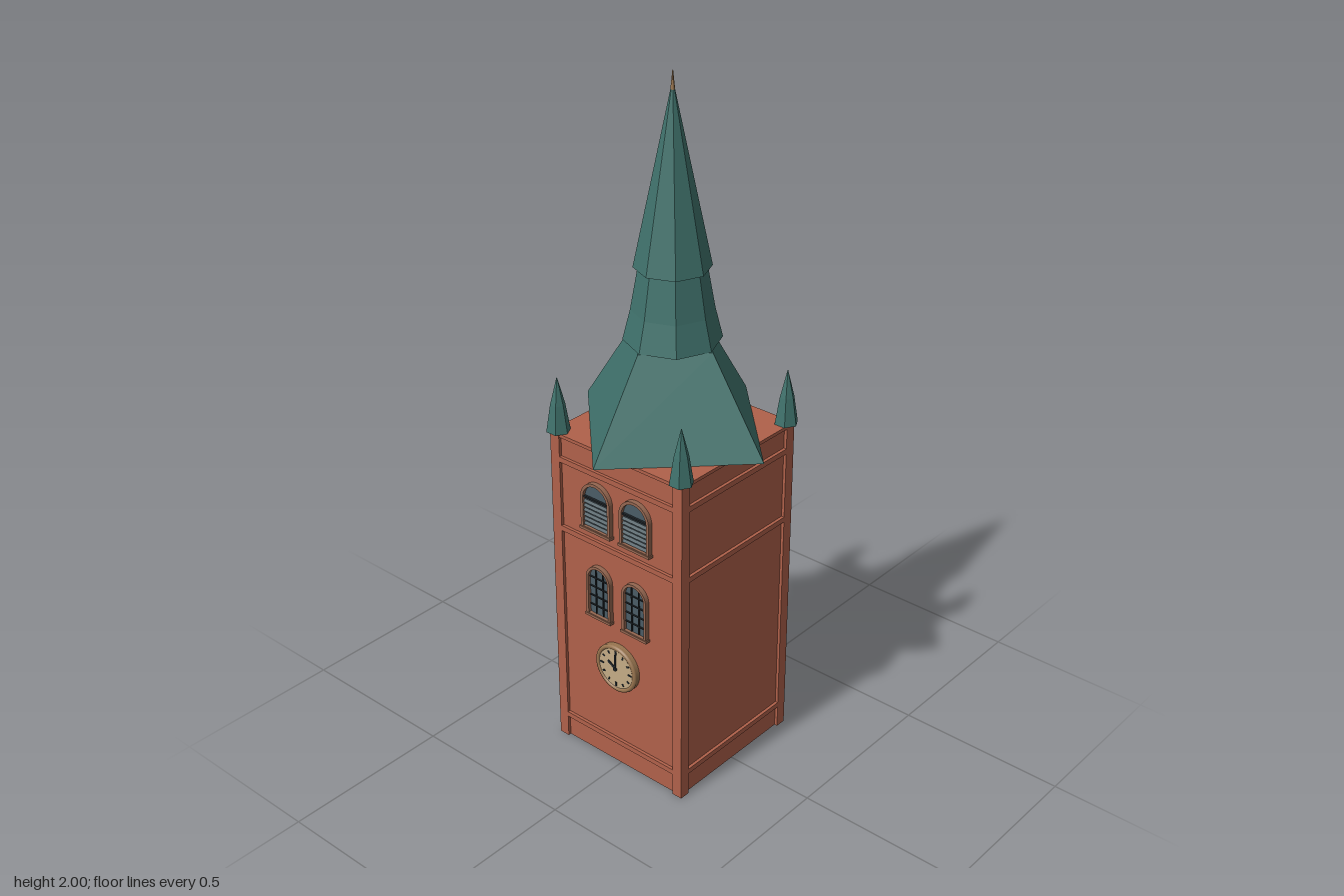
import * as THREE from 'three';

const flat = (name, color) => {
  const m = new THREE.MeshStandardMaterial({ color });
  m.name = name;
  return m;
};

export function createModel() {
  const brick = flat('brick', 0xb0614a);
  const copper = flat('green copper', 0x3f716b);
  const stone = flat('window surround', 0x946650);
  const glass = flat('slate glass', 0x4a5c66);
  const slate = flat('louvre slate', 0x56656b);
  const dark = flat('dark iron', 0x20262a);
  const bronze = flat('bronze', 0x9a7650);
  const cream = flat('clock cream', 0xc4ab86);
  [copper, brick, stone, slate, glass].forEach((m) => { m.flatShading = true; });

  const tower = new THREE.Group();
  tower.name = 'clockTower';

  const add = (parent, name, geometry, material, x = 0, y = 0, z = 0) => {
    const mesh = new THREE.Mesh(geometry, material);
    mesh.name = name;
    mesh.position.set(x, y, z);
    parent.add(mesh);
    return mesh;
  };
  const box = (parent, name, w, h, d, material, x, y, z) =>
    add(parent, name, new THREE.BoxGeometry(w, h, d), material, x, y, z);
  // Tapered prism standing between two heights
  const taper = (parent, name, rBottom, rTop, y0, y1, sides, material, x = 0, z = 0, open = false) =>
    add(parent, name, new THREE.CylinderGeometry(rTop, rBottom, y1 - y0, sides, 1, open),
      material, x, (y0 + y1) / 2, z);

  // Brick shaft, corner piers and string courses
  box(tower, 'shaft', 0.45, 1.005, 0.45, brick, 0, 0.5025, 0);
  for (const x of [-1, 1]) for (const z of [-1, 1]) {
    box(tower, 'cornerPier', 0.032, 1.008, 0.032, brick, x * 0.218, 0.504, z * 0.218);
  }
  for (const y of [0.077, 0.715, 0.932]) {
    box(tower, 'stringCourse', 0.468, 0.016, 0.468, brick, 0, y, 0);
  }
  box(tower, 'parapetSlab', 0.466, 0.01, 0.466, brick, 0, 1.005, 0);

  // Roof: diamond skirt, octagonal neck and spire
  taper(tower, 'roofSkirt', 0.315, 0.138, 1.01, 1.275, 4, copper);
  taper(tower, 'flaredNeck', 0.133, 0.112, 1.275, 1.36, 8, copper);
  taper(tower, 'upperNeck', 0.112, 0.09, 1.36, 1.485, 8, copper);
  taper(tower, 'spire', 0.104, 0.004, 1.48, 1.96, 8, copper);
  taper(tower, 'finial', 0.008, 0.001, 1.93, 2, 8, bronze);

  // Corner pinnacles
  for (const x of [-1, 1]) for (const z of [-1, 1]) {
    const pinnacle = new THREE.Group();
    pinnacle.name = 'pinnacle';
    pinnacle.position.set(x * 0.218, 0, z * 0.218);
    pinnacle.rotation.y = Math.PI / 6;
    taper(pinnacle, 'pinnacleBase', 0.034, 0.021, 1.01, 1.09, 6, copper);
    taper(pinnacle, 'pinnacleTip', 0.021, 0.001, 1.09, 1.168, 6, copper);
    tower.add(pinnacle);
  }

  // Round-headed outline, base at y = 0
  const archOn = (path, w, h, inset = 0) => {
    const r = w / 2 - inset;
    const spring = h - w / 2;
    path.moveTo(-r, inset);
    path.lineTo(r, inset);
    path.lineTo(r, spring);
    path.absarc(0, spring, r, 0, Math.PI, false);
    path.lineTo(-r, inset);
    return path;
  };

  const archWindow = (name, x, y, w, h, frame, paneMaterial) => {
    const g = new THREE.Group();
    g.name = name;
    g.position.set(x, y, 0.225);
    const surround = archOn(new THREE.Shape(), w, h);
    surround.holes.push(archOn(new THREE.Path(), w, h, frame));
    add(g, 'surround', new THREE.ExtrudeGeometry(surround,
      { depth: 0.014, bevelEnabled: false, curveSegments: 12 }), stone);
    add(g, 'pane', new THREE.ExtrudeGeometry(archOn(new THREE.Shape(), w, h, frame),
      { depth: 0.004, bevelEnabled: false, curveSegments: 12 }), paneMaterial);
    box(g, 'sill', w + 0.006, 0.008, 0.018, stone, 0, 0.003, 0.008);
    tower.add(g);
    return g;
  };

  for (const side of [-1, 1]) {
    // Belfry openings with tilted louvres
    const belfry = archWindow('belfryWindow', side * 0.07, 0.752, 0.106, 0.152, 0.009, glass);
    for (let i = 0; i < 6; i++) {
      const slat = box(belfry, 'louvre', 0.086, 0.009, 0.003, slate, 0, 0.017 + i * 0.014, 0.008);
      slat.rotation.x = -0.5;
      box(belfry, 'louvreGap', 0.086, 0.003, 0.002, dark, 0, 0.024 + i * 0.014, 0.0045);
    }
    box(belfry, 'transom', 0.088, 0.005, 0.006, dark, 0, 0.1, 0.007);

    // Lower leaded windows
    const lower = archWindow('lowerWindow', side * 0.066, 0.475, 0.088, 0.168, 0.008, glass);
    for (const x of [-0.013, 0.013]) {
      box(lower, 'mullion', 0.003, 0.142, 0.004, dark, x, 0.081, 0.006);
    }
    for (const y of [0.036, 0.066, 0.096, 0.126]) {
      box(lower, 'glazingBar', 0.07, 0.003, 0.004, dark, 0, y, 0.006);
    }
  }

  // Clock
  const clock = new THREE.Group();
  clock.name = 'clock';
  clock.position.set(0, 0.34, 0.225);
  const disc = (name, r, depth, material, z) => {
    const m = add(clock, name, new THREE.CylinderGeometry(r, r, depth, 40), material, 0, 0, z);
    m.rotation.x = Math.PI / 2;
  };
  disc('clockBack', 0.074, 0.014, bronze, 0.007);
  disc('clockFace', 0.064, 0.005, cream, 0.0145);
  add(clock, 'clockRim', new THREE.TorusGeometry(0.068, 0.007, 8, 40), bronze, 0, 0, 0.014);
  for (let i = 0; i < 12; i++) {
    const a = (i * Math.PI) / 6;
    const tick = box(clock, 'hourMark', 0.005, i % 3 ? 0.009 : 0.013, 0.002, dark,
      Math.sin(a) * 0.052, Math.cos(a) * 0.052, 0.0175);
    tick.rotation.z = -a;
  }
  const hand = (name, length, width, angle, z) => {
    const m = box(clock, name, width, length, 0.002, dark,
      Math.sin(angle) * length * 0.42, Math.cos(angle) * length * 0.42, z);
    m.rotation.z = -angle;
  };
  hand('hourHand', 0.036, 0.008, -Math.PI / 3, 0.0185);
  hand('minuteHand', 0.052, 0.006, 0.03, 0.0205);
  disc('handBoss', 0.006, 0.004, dark, 0.021);
  tower.add(clock);

  return tower;
}
